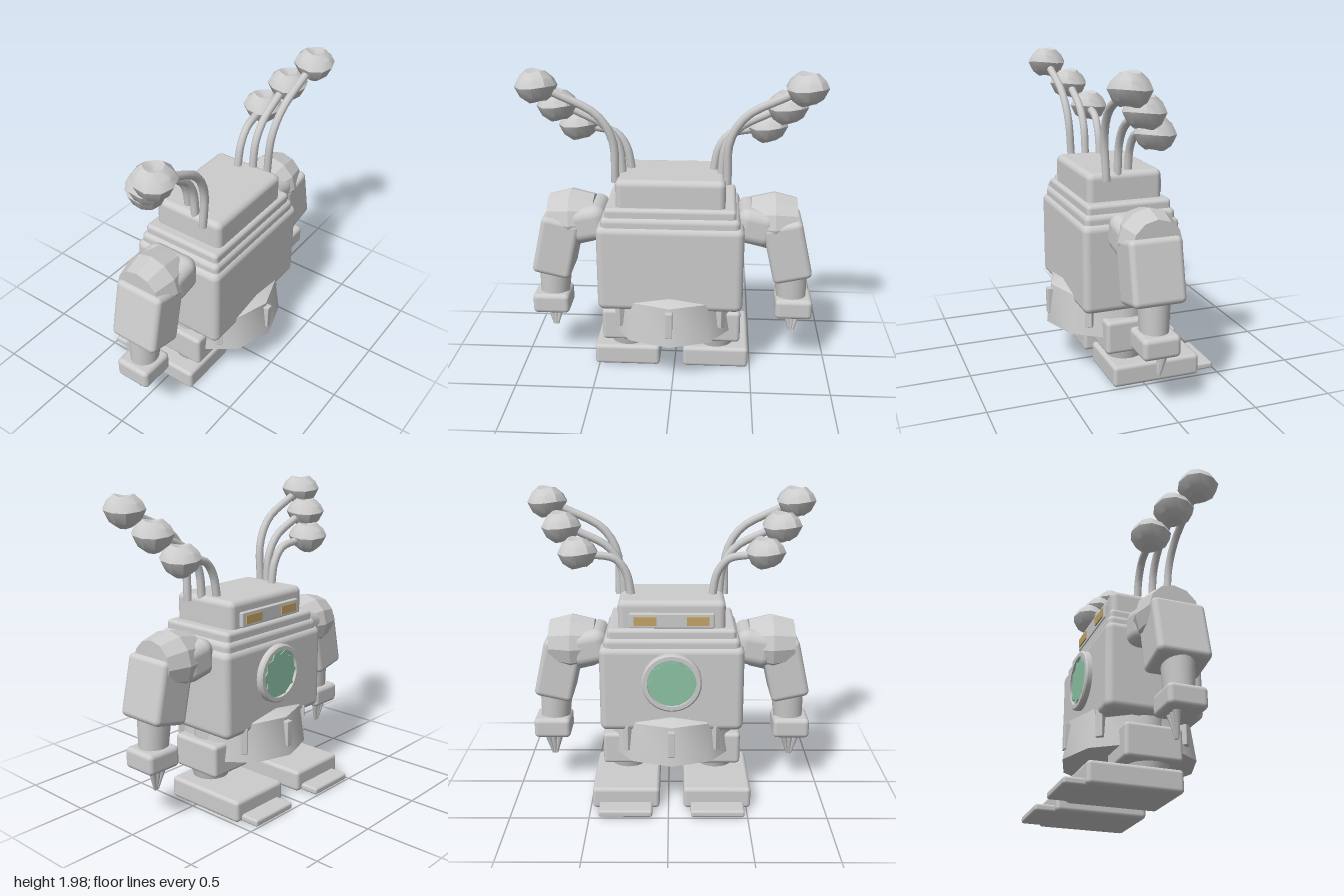
import * as THREE from 'three';
import { RoundedBoxGeometry } from 'three/addons/geometries/RoundedBoxGeometry.js';
import { toCreasedNormals } from 'three/addons/utils/BufferGeometryUtils.js';

const material = (name, color) => new THREE.MeshStandardMaterial({ name, color });

export function createModel() {
  const grey = material('pale grey', 0xcccccc);
  const gold = material('dull gold', 0xc4a566);
  const green = material('soft green', 0x8ec4a6);

  const root = new THREE.Group();
  root.name = 'robot';
  const robot = new THREE.Group();
  robot.name = 'robotParts';
  robot.position.x = -0.02;
  root.add(robot);

  function add(name, geometry, x, y, z, mat = grey) {
    const mesh = new THREE.Mesh(geometry, mat);
    mesh.name = name;
    mesh.position.set(x, y, z);
    robot.add(mesh);
    return mesh;
  }
  const box = (w, h, d, r = 0.025) => new RoundedBoxGeometry(w, h, d, 3, r);
  const crease = (g, a = 0.5) => toCreasedNormals(g, a);
  const lathe = (pts, n) => new THREE.LatheGeometry(pts.map(([r, y]) => new THREE.Vector2(r, y)), n);

  // Torso, collar and head
  add('body', box(0.915, 0.56, 0.62, 0.045), 0, 0.77, 0.06);
  add('bodyTop', box(0.86, 0.14, 0.58, 0.035), 0, 1.035, 0.06);
  add('collar', box(0.81, 0.12, 0.54), 0, 1.1, 0.06);
  add('head', box(0.675, 0.24, 0.48, 0.04), 0, 1.213, 0.063);

  // Visor and eyes on the face
  add('visor', box(0.53, 0.095, 0.04, 0.008), 0, 1.213, -0.182);
  for (const s of [-1, 1]) {
    add('eye', new THREE.BoxGeometry(0.14, 0.055, 0.009), s * 0.165, 1.213, -0.206, gold);
  }

  // Round chest light: ring, disc and ten-pointed star
  const ring = lathe([[0.155, 0], [0.19, 0], [0.19, 0.035], [0.18, 0.045], [0.155, 0.045], [0.155, 0]], 32);
  add('chestRing', crease(ring), 0, 0.83, -0.245).rotation.x = -Math.PI / 2;
  add('chestDisc', new THREE.CylinderGeometry(0.157, 0.157, 0.02, 32), 0, 0.83, -0.26, green).rotation.x = Math.PI / 2;
  const star = new THREE.Shape();
  for (let i = 0; i < 20; i++) {
    const a = i * Math.PI / 10, r = i % 2 ? 0.125 : 0.155;
    star[i ? 'lineTo' : 'moveTo'](r * Math.cos(a), r * Math.sin(a));
  }
  const starGeo = new THREE.ExtrudeGeometry(star, { depth: 0.009, bevelEnabled: false });
  add('chestStar', starGeo, 0, 0.83, -0.283, green);

  // Ten-sided skirt with a sloping top, and its ribs
  const skirt = lathe([[0, 0.3], [0.425, 0.3], [0.39, 0.55], [0.25, 0.615], [0, 0.615]], 10);
  add('skirt', crease(skirt, 0.7), 0, 0, 0.055);
  for (const degrees of [0, 53, 135, 180, 225, 307]) {
    const a = degrees * Math.PI / 180;
    const rib = add('skirtRib', box(0.045, 0.17, 0.045, 0.005),
      0.4 * Math.sin(a), 0.445, 0.055 + 0.4 * Math.cos(a));
    rib.rotation.y = a;
  }

  // Ragged five-sided blossom: ridged profile with rippled edges
  function blossomGeometry() {
    const g = lathe([[0, -0.085], [0.06, -0.09], [0.105, -0.06], [0.14, 0.005],
      [0.115, 0.05], [0.065, 0.09], [0, 0.07]], 10);
    const p = g.attributes.position;
    for (let i = 0; i < p.count; i++) {
      const x = p.getX(i), z = p.getZ(i);
      const a = Math.atan2(z, x), wave = Math.cos(5 * a);
      const k = 0.92 + 0.09 * wave;
      const rise = Math.hypot(x, z) > 0.02 ? 0.012 * Math.cos(5 * a) + 0.008 * Math.sin(2 * a) : 0;
      p.setXYZ(i, x * k, p.getY(i) + rise, z * k);
    }
    return crease(g, 0.6);
  }
  const blossom = blossomGeometry();

  // Each stem: four path points, then the blossom centre
  const stems = [
    { path: [[0.345, 1.29, 0.19], [0.355, 1.56, 0.205], [0.45, 1.72, 0.215], [0.70, 1.85, 0.22]], tip: [0.8, 1.89, 0.22] },
    { path: [[0.305, 1.29, 0.105], [0.33, 1.5, 0.105], [0.41, 1.62, 0.105], [0.60, 1.72, 0.1]], tip: [0.7, 1.75, 0.095] },
    { path: [[0.255, 1.29, 0.02], [0.29, 1.47, 0.02], [0.36, 1.56, 0.015], [0.5, 1.59, 0]], tip: [0.59, 1.605, -0.015] },
  ];

  for (const s of [-1, 1]) {
    // Stems and blossoms
    for (const { path, tip } of stems) {
      const curve = new THREE.CatmullRomCurve3(path.map(([x, y, z]) => new THREE.Vector3(s * x, y, z)));
      add('stem', new THREE.TubeGeometry(curve, 12, 0.026, 8), 0, 0, 0);
      const flower = add('blossom', blossom, s * tip[0], tip[1], tip[2]);
      flower.rotation.set(0, s > 0 ? 0 : Math.PI, 0);
    }

    // Shoulder: joint block and faceted barrel pad
    add('shoulderJoint', box(0.25, 0.23, 0.35, 0.07), s * 0.53, 0.995, 0.045).rotation.z = s * -0.2;
    const pad = lathe([[0, -0.15], [0.155, -0.15], [0.19, 0], [0.155, 0.14], [0, 0.14]], 12);
    add('shoulderPad', crease(pad, 0.3), s * 0.65, 1.0, 0.042).rotation.z = -s * Math.PI / 2;

    // Arm
    add('upperArm', box(0.25, 0.39, 0.33, 0.035), s * 0.735, 0.84, 0.06).rotation.z = s * 0.22;
    const forearm = new THREE.CylinderGeometry(0.11, 0.095, 0.24, 20);
    const arm = add('forearm', forearm, s * 0.775, 0.58, 0.057);
    arm.scale.z = 0.9;
    arm.rotation.z = s * 0.06;
    add('cuff', box(0.24, 0.135, 0.235, 0.03), s * 0.795, 0.423, 0.055);
    for (const i of [-1, 0, 1]) {
      const finger = add('finger', new THREE.CylinderGeometry(0.026, 0.008, 0.17, 8),
        s * 0.795 + i * 0.028, 0.295, 0.02);
      finger.rotation.set(-0.12, 0, -i * 0.2);
    }

    // Leg and foot
    add('thigh', new THREE.CylinderGeometry(0.12, 0.12, 0.2, 24), s * 0.285, 0.43, 0.05);
    add('knee', box(0.315, 0.215, 0.36), s * 0.292, 0.315, 0.045);
    add('ankle', new THREE.CylinderGeometry(0.138, 0.11, 0.1, 24), s * 0.292, 0.18, 0.06);
    add('foot', box(0.43, 0.14, 0.575), s * 0.292, 0.077, -0.087);
    add('toePlate', box(0.34, 0.045, 0.16, 0.015), s * 0.292, 0.03, -0.415);
  }
  return root;
}
